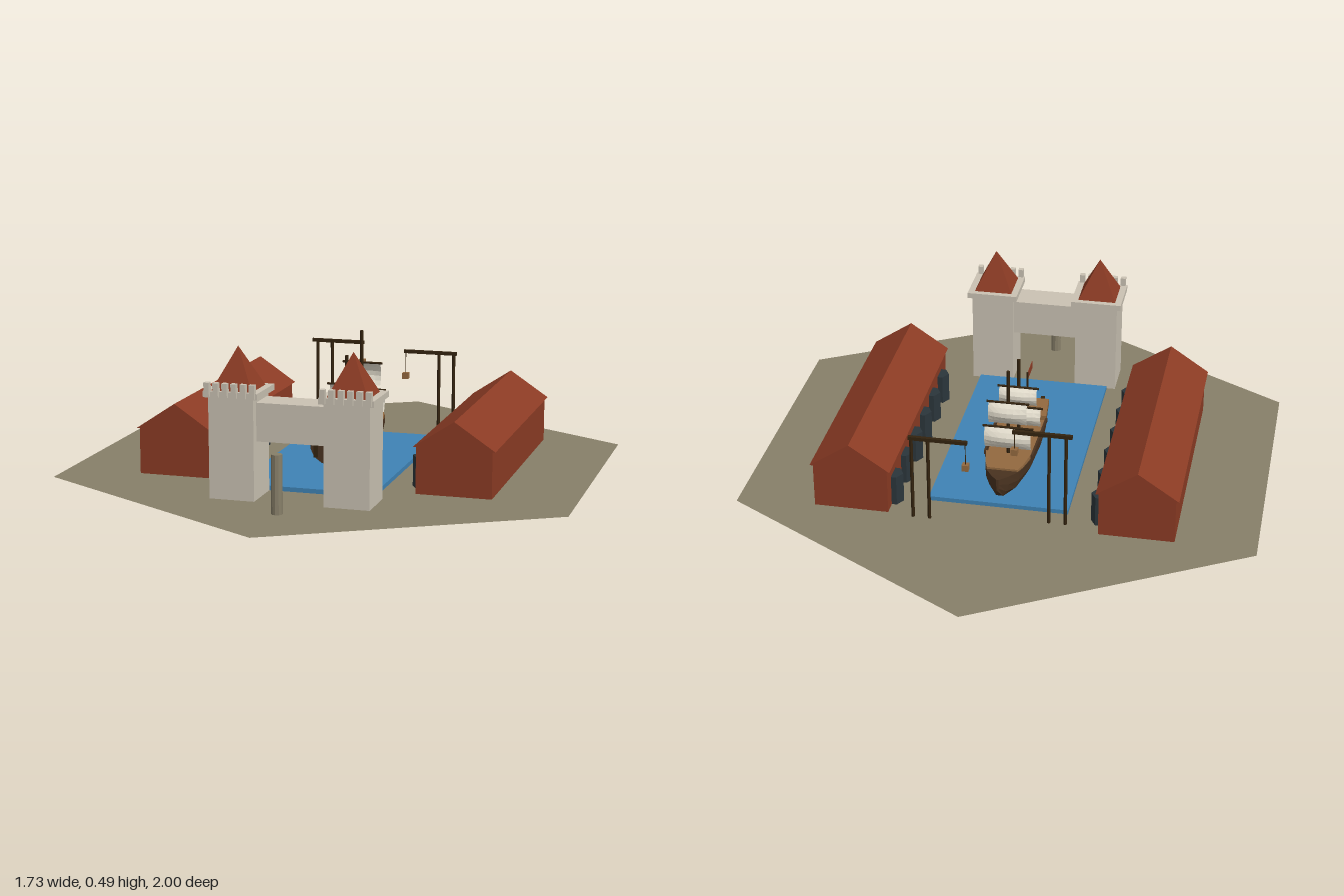
import * as THREE from 'three';

const mat = (name, color, extra = {}) => {
  const m = new THREE.MeshStandardMaterial({ color, flatShading: true, ...extra });
  m.name = name;
  return m;
};

export function createModel() {
  const DS = { side: THREE.DoubleSide };
  const ground = mat('olive ground', 0x877f69, DS);
  const water = mat('blue water', 0x3f83b5);
  const stone = mat('pale stone', 0xcac2b3);
  const brick = mat('red brick', 0x8b3b24, DS);
  const slate = mat('dark slate', 0x2b353b);
  const hullWood = mat('dark hull wood', 0x4a3320);
  const deckWood = mat('tan deck wood', 0x93693f);
  const timber = mat('black brown timber', 0x33230f);
  const canvas = mat('cream canvas', 0xe6e0d0, DS);

  const root = new THREE.Group();
  root.name = 'harbour';
  const group = (name, parent = root) => {
    const g = new THREE.Group();
    g.name = name;
    parent.add(g);
    return g;
  };
  const add = (parent, name, geo, material, x = 0, y = 0, z = 0) => {
    const m = new THREE.Mesh(geo, material);
    m.name = name;
    m.position.set(x, y, z);
    parent.add(m);
    return m;
  };
  // box given by its lower and upper corners
  const box = (parent, name, material, x0, x1, y0, y1, z0, z1) =>
    add(parent, name, new THREE.BoxGeometry(x1 - x0, y1 - y0, z1 - z0), material,
      (x0 + x1) / 2, (y0 + y1) / 2, (z0 + z1) / 2);
  const pole = (parent, name, material, r, y0, y1, x, z, sides = 6) =>
    add(parent, name, new THREE.CylinderGeometry(r, r, y1 - y0, sides), material, x, (y0 + y1) / 2, z);
  const extrude = (pts, depth) => new THREE.ExtrudeGeometry(
    new THREE.Shape(pts.map(p => new THREE.Vector2(...p))), { depth, bevelEnabled: false });

  // hexagonal ground and harbour basin
  const hex = new THREE.CircleGeometry(1, 6, Math.PI / 2);
  add(root, 'ground', hex.rotateX(-Math.PI / 2), ground);
  box(root, 'water', water, -0.235, 0.235, 0.003, 0.018, -0.38, 0.47);

  // warehouses with a row of hexagonal bays on the basin side
  for (const s of [-1, 1]) {
    const w = group(s > 0 ? 'leftWarehouse' : 'rightWarehouse');
    w.position.x = s * 0.475;
    box(w, 'walls', brick, -0.125, 0.125, 0.005, 0.165, -0.48, 0.388);
    add(w, 'roof', extrude([[-0.135, 0.16], [0.135, 0.16], [0, 0.25]], 0.875), brick, 0, 0, -0.485);
    for (let i = 0; i < 6; i++) {
      const bay = pole(w, 'bay', slate, 0.035, 0.005, 0.11, -s * 0.125, -0.4 + i * 0.138);
      bay.rotation.y = Math.PI / 2;
    }
  }

  // gatehouse
  const gate = group('gatehouse');
  box(gate, 'bridge', stone, -0.125, 0.125, 0.195, 0.32, 0.493, 0.6);
  for (const s of [-1, 1]) {
    const t = group(s > 0 ? 'leftTower' : 'rightTower', gate);
    t.position.set(s * 0.19, 0, 0.553);
    box(t, 'shaft', stone, -0.075, 0.075, 0.005, 0.336, -0.075, 0.075);
    box(t, 'parapet', stone, -0.09, 0.09, 0.335, 0.355, -0.09, 0.082);
    for (let i = 0; i < 6; i++) {
      const x = -0.075 + i * 0.03;
      box(t, 'merlon', stone, x - 0.009, x + 0.009, 0.338, 0.384, 0.073, 0.092);
    }
    const cone = new THREE.ConeGeometry(0.067 * Math.SQRT2, 0.135, 4).rotateY(Math.PI / 4);
    add(t, 'spire', cone, brick, 0, 0.4225, -0.002);
  }

  // bollard before the gate
  pole(root, 'bollard', ground, 0.018, 0.005, 0.195, 0, 0.742, 10);

  // cranes: two posts, a jib, a rope and a crate
  const crane = (name, s, z, top, crateY) => {
    const c = group(name);
    for (const x of [0.21, 0.265]) pole(c, 'post', timber, 0.006, 0, top, s * (s > 0 ? x : x - 0.03), z);
    const a = s > 0 ? 0.08 : 0.06, b = s > 0 ? 0.275 : 0.255;
    const jib = new THREE.BoxGeometry(b - a, 0.012, 0.012);
    add(c, 'jib', jib, timber, s * (a + b) / 2, top, z);
    pole(c, 'rope', timber, 0.0015, crateY, top, s * (a + 0.006), z, 4);
    add(c, 'crate', new THREE.BoxGeometry(0.022, 0.022, 0.022), deckWood, s * (a + 0.006), crateY, z);
  };
  crane('leftCrane', 1, -0.48, 0.3, 0.21);
  crane('rightCrane', -1, -0.435, 0.333, 0.26);

  // ship hull lofted through stations [z, half width, keel height, rail height]
  const ship = group('ship');
  const stations = [
    [-0.39, 0.004, 0.07, 0.115], [-0.35, 0.03, 0.03, 0.107], [-0.3, 0.058, 0.016, 0.1],
    [-0.2, 0.08, 0.012, 0.092], [-0.05, 0.087, 0.012, 0.088], [0.06, 0.085, 0.012, 0.092],
    [0.18, 0.072, 0.03, 0.108],
  ];
  const half = [[1, 1], [0.96, 0.6], [0.78, 0.25], [0.4, 0]];
  const ring = [...half, ...half.map(([w, h]) => [-w, h]).reverse()];
  const n = ring.length, pos = [], idx = [];
  for (const [z, w, k, t] of stations)
    for (const [fx, fy] of ring) pos.push(fx * w, k + fy * (t - k), z);
  for (let i = 0; i < stations.length - 1; i++)
    for (let j = 0; j < n; j++) {
      const a = i * n + j, b = i * n + (j + 1) % n;
      idx.push(a, a + n, b, b, a + n, b + n);
    }
  const last = (stations.length - 1) * n;
  for (let j = 1; j < n - 1; j++) {
    idx.push(0, j, j + 1);
    idx.push(last, last + j + 1, last + j);
  }
  const hull = new THREE.BufferGeometry();
  hull.setAttribute('position', new THREE.Float32BufferAttribute(pos, 3));
  hull.setIndex(idx);
  hull.computeVertexNormals();
  add(ship, 'hull', hull, hullWood);

  // decks follow the plan outline [z, half width]
  const deck = (name, top, thick, rows) => {
    const pts = [...rows.map(([z, w]) => [w, z]), ...rows.map(([z, w]) => [-w, z]).reverse()];
    add(ship, name, extrude(pts, thick).rotateX(Math.PI / 2), deckWood, 0, top, 0);
  };
  deck('foredeck', 0.108, 0.014, [[-0.305, 0.052], [-0.27, 0.064], [-0.2, 0.077]]);
  deck('mainDeck', 0.098, 0.012, [[-0.2, 0.072], [-0.05, 0.079], [0.05, 0.078]]);
  deck('quarterdeck', 0.115, 0.026, [[0.05, 0.084], [0.17, 0.073]]);
  // rails along the waist and stern posts
  for (const s of [-1, 1]) {
    const rail = add(ship, 'rail', new THREE.BoxGeometry(0.007, 0.014, 0.255), hullWood, s * 0.083, 0.1, -0.075);
    rail.rotation.y = s * 0.02;
    box(ship, 'sternPost', timber, s * 0.05 - 0.007, s * 0.05 + 0.007, 0.05, 0.115, 0.172, 0.187);
  }

  // square sails bellying towards the bow, each below its yard
  const sail = (y0, y1, z, w) => {
    const g = new THREE.PlaneGeometry(w * 2, y1 - y0, 6, 5);
    const p = g.attributes.position;
    for (let i = 0; i < p.count; i++) {
      const v = p.getY(i) / (y1 - y0), u = p.getX(i) / w;
      p.setZ(i, -0.022 * Math.cos(v * Math.PI) * (1 - 0.4 * u * u));
    }
    g.computeVertexNormals();
    add(ship, 'sail', g, canvas, 0, (y0 + y1) / 2, z - 0.008);
    const yard = new THREE.CylinderGeometry(0.004, 0.004, w * 2 + 0.014, 6).rotateZ(Math.PI / 2);
    add(ship, 'yard', yard, timber, 0, y1, z - 0.008);
  };
  pole(ship, 'foremast', timber, 0.006, 0.08, 0.42, 0, -0.2);
  sail(0.13, 0.21, -0.2, 0.079);
  sail(0.225, 0.305, -0.2, 0.065);
  pole(ship, 'mainmast', timber, 0.006, 0.08, 0.365, 0, -0.015);
  sail(0.115, 0.185, -0.015, 0.079);
  sail(0.195, 0.262, -0.015, 0.065);

  // stern flag
  pole(ship, 'flagpole', timber, 0.004, 0.1, 0.225, 0, 0.15);
  box(ship, 'flag', brick, -0.001, 0.001, 0.195, 0.222, 0.15, 0.24);

  return root;
}
